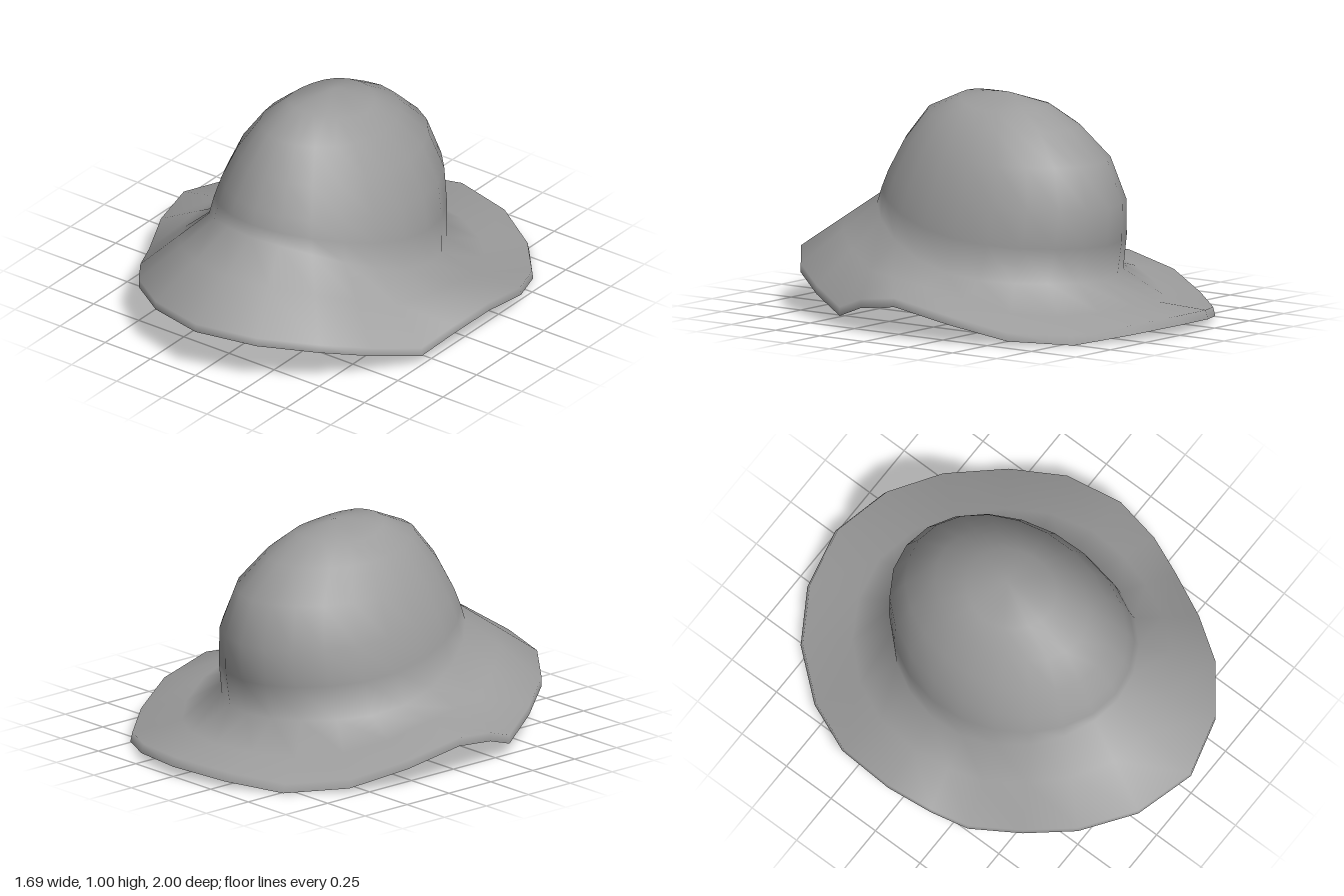
import * as THREE from 'three';
import { mergeVertices } from 'three/addons/utils/BufferGeometryUtils.js';

// half of the wavy brim edge, back centre to front centre: [x, y, z] of its lower lip
const HALF_RIM = [
  [0, 0.045, -1], [0.28, 0.03, -0.94], [0.51, 0, -0.8], [0.7, 0.02, -0.575],
  [0.815, 0.085, -0.33], [0.845, 0.14, -0.05], [0.812, 0.11, 0.165], [0.755, 0.05, 0.33],
  [0.64, 0.11, 0.55], [0.5, 0.17, 0.75], [0.28, 0.207, 0.92], [0, 0.222, 1],
];

// tilted oval crown rings, apex down to base:
// [front z, front y, back z, back y, half width, dip at the sides]
const CROWN = [
  [-0.03, 1, -0.03, 1, 0, 0], [0.2, 0.985, -0.22, 0.95, 0.185, 0.027],
  [0.37, 0.91, -0.38, 0.86, 0.275, 0.018], [0.48, 0.77, -0.53, 0.72, 0.375, 0.01],
  [0.55, 0.64, -0.6, 0.53, 0.445, 0.02], [0.575, 0.575, -0.59, 0.36, 0.478, 0.05],
  [0.59, 0.52, -0.56, 0.2, 0.5, 0.09],
];

const STEPS = HALF_RIM.length - 1;
const COLUMNS = STEPS * 2;
const LIP = 0.04;
const LINING = 0.014;

// lip point, raised from its lower edge
function rimPoint(i, raise) {
  const mirrored = i > STEPS;
  const [x, y, z] = HALF_RIM[mirrored ? COLUMNS - i : i];
  const inward = raise > 0 && z < 0 ? 0.985 : 1;
  return new THREE.Vector3(mirrored ? -x : x, y + raise, z * inward);
}

// point on a crown ring, inset for the lining
function crownPoint([fz, fy, bz, by, w, dip], i, inset) {
  const angle = (i / COLUMNS) * Math.PI * 2;
  const f = 0.5 - 0.5 * Math.cos(angle);
  const half = Math.max(0, (fz - bz) / 2 - inset);
  return new THREE.Vector3(
    Math.sin(angle) * Math.max(0, w - inset),
    by + (fy - by) * f - dip * Math.abs(Math.sin(angle)) ** 3 - inset * 0.8,
    (fz + bz) / 2 - Math.cos(angle) * half,
  );
}

// brim between crown base and rim, drooping toward the back
function brimPoint(base, rim, t, i) {
  const back = Math.max(0, Math.cos((i / COLUMNS) * Math.PI * 2));
  const p = base.clone().lerp(rim, t);
  p.y -= 0.05 * back * Math.sin(Math.PI * t);
  return p;
}

// outer cross-section: over the crown, along the brim, down the lip
function outerSection(i) {
  const crown = CROWN.map((ring) => crownPoint(ring, i, 0));
  const upper = rimPoint(i, LIP);
  return [...crown, brimPoint(crown[crown.length - 1], upper, 0.45, i), upper, rimPoint(i, 0)];
}

// lining cross-section, apex to lip
function liningSection(i) {
  const crown = CROWN.map((ring) => crownPoint(ring, i, LINING));
  const base = crown[crown.length - 1];
  const rim = rimPoint(i, LIP - LINING);
  return [...crown, brimPoint(base, rim, 0.45, i), brimPoint(base, rim, 0.93, i), rimPoint(i, 0)];
}

// closed loft of cross-sections round the hat, facing outward or inward
function loft(section, inward) {
  const sections = Array.from({ length: COLUMNS }, (_, i) => section(i));
  const rows = sections[0].length;
  const positions = [];
  const index = [];
  const face = (a, b, c) => index.push(a, ...(inward ? [c, b] : [b, c]));
  sections.forEach((points, i) => {
    const next = ((i + 1) % COLUMNS) * rows;
    points.forEach((p, r) => {
      positions.push(p.x, p.y, p.z);
      if (r === rows - 1) return;
      const a = i * rows + r;
      const d = next + r;
      if (r > 0) face(a, d, a + 1);
      face(d, d + 1, a + 1);
    });
  });
  const geometry = new THREE.BufferGeometry();
  geometry.setAttribute('position', new THREE.Float32BufferAttribute(positions, 3));
  geometry.setIndex(index);
  // weld the apex points so the shell shades smoothly
  const welded = mergeVertices(geometry, 1e-4);
  welded.computeVertexNormals();
  return welded;
}

export function createModel() {
  const felt = new THREE.MeshStandardMaterial({ color: 0x9c9c9c });
  felt.name = 'grey felt';

  const group = new THREE.Group();
  group.name = 'hat';
  const shell = new THREE.Mesh(loft(outerSection, false), felt);
  shell.name = 'crownAndBrim';
  const lining = new THREE.Mesh(loft(liningSection, true), felt);
  lining.name = 'lining';
  group.add(shell, lining);
  return group;
}
